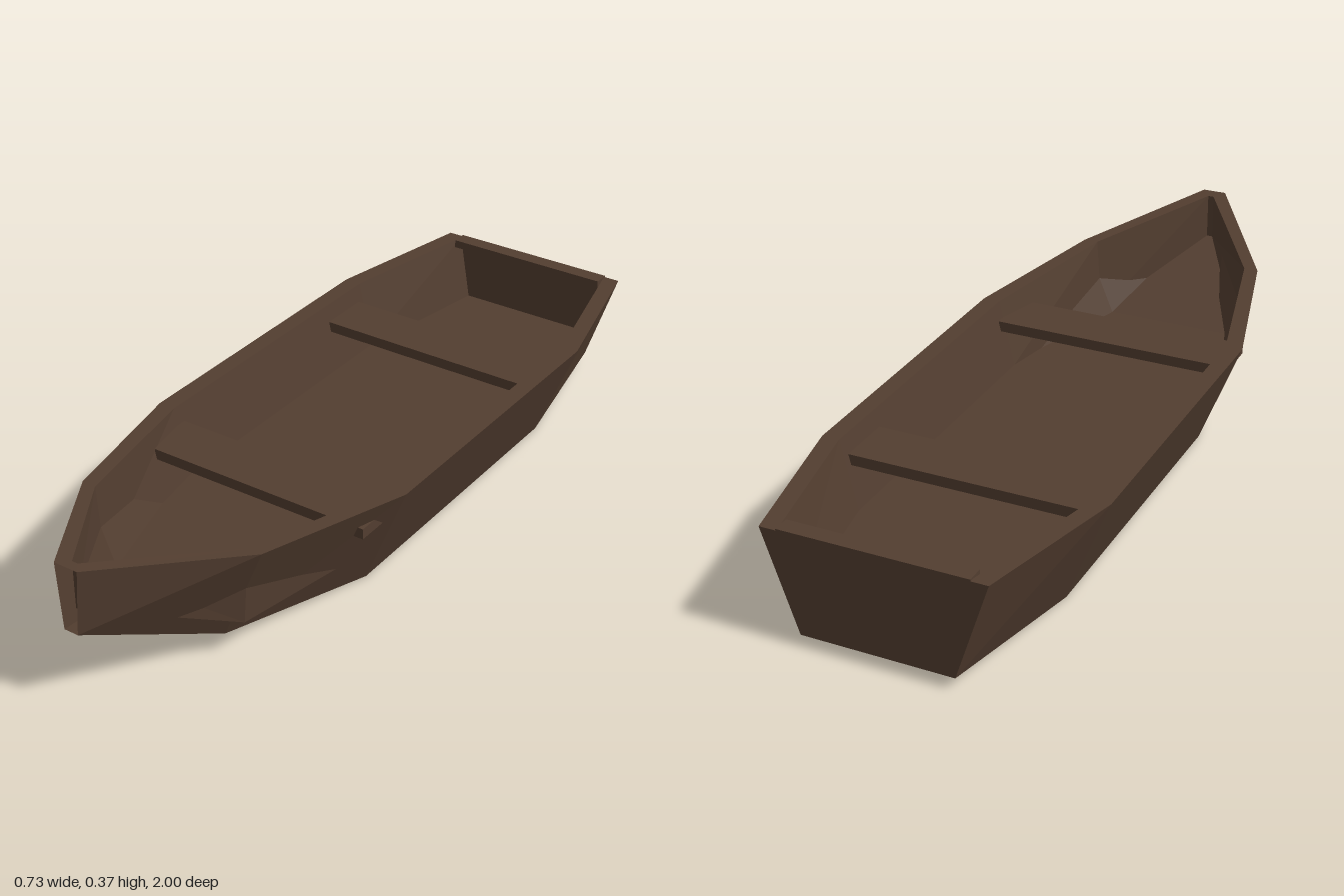
import * as THREE from 'three';

// stations from stern to bow: z, half width at top, top y, half width at bottom, bottom y
const OUTER = [
  [-1, 0.275, 0.286, 0.19, 0.03],
  [-0.59, 0.367, 0.277, 0.258, 0.003],
  [0.24, 0.367, 0.277, 0.258, 0],
  [0.655, 0.258, 0.305, 0.148, 0.04],
  [1, 0.032, 0.369, 0.019, 0.197],
];
const INNER = [
  [-0.99, 0.233, 0.286, 0.2, 0.105],
  [-0.59, 0.322, 0.277, 0.28, 0.095],
  [0.24, 0.322, 0.277, 0.28, 0.095],
  [0.655, 0.22, 0.305, 0.205, 0.096],
  [0.97, 0.008, 0.364, 0.008, 0.24],
];

// corner of a station: side is 1 or -1
const top = (s, side) => [side * s[1], s[2], s[0]];
const bottom = (s, side) => [side * s[3], s[4], s[0]];

function quadMesh(name, quads, material) {
  const pos = [];
  for (const [a, b, c, d] of quads) pos.push(...a, ...b, ...c, ...a, ...c, ...d);
  const geometry = new THREE.BufferGeometry();
  geometry.setAttribute('position', new THREE.Float32BufferAttribute(pos, 3));
  geometry.computeVertexNormals();
  const mesh = new THREE.Mesh(geometry, material);
  mesh.name = name;
  return mesh;
}

export function createModel() {
  const boat = new THREE.Group();
  boat.name = 'rowingBoat';
  // both sides show, as the stem is open at the front
  const wood = new THREE.MeshStandardMaterial({ color: 0x533e30, flatShading: true, side: THREE.DoubleSide });
  wood.name = 'dark wood';

  // section corners, counterclockwise seen from the bow
  const ring = OUTER.map((o, i) => {
    const n = INNER[i];
    return [
      bottom(o, 1), top(o, 1), top(n, 1), bottom(n, 1),
      bottom(n, -1), top(n, -1), top(o, -1), bottom(o, -1),
    ];
  });
  const strip = (k) => ring.slice(1).map((r, i) => {
    const m = (k + 1) % 8;
    return [r[k], ring[i][k], ring[i][m], r[m]];
  });
  const [s, b] = [ring[0], ring[ring.length - 1]];

  // outer planking, bottom and transom
  boat.add(quadMesh('hull', [
    ...strip(0), ...strip(6), ...strip(7),
    [s[0], s[7], s[6], s[1]],
  ], wood));

  // top edge all round
  boat.add(quadMesh('gunwale', [
    ...strip(1), ...strip(5),
    [s[6], s[5], s[2], s[1]],
    [b[5], b[6], b[1], b[2]],
  ], wood));

  // inner walls with the inside of the transom and bow
  boat.add(quadMesh('innerWalls', [
    ...strip(2), ...strip(4),
    [s[4], s[3], s[2], s[5]],
    [b[3], b[4], b[5], b[2]],
  ], wood));

  boat.add(quadMesh('floor', strip(3), wood));

  // bench seats and the cap along the transom: name, width, height, depth, y, z
  for (const [name, w, h, d, y, z] of [
    ['rearSeat', 0.636, 0.028, 0.146, 0.217, -0.4975],
    ['frontSeat', 0.654, 0.028, 0.146, 0.217, 0.287],
    ['transomCap', 0.466, 0.022, 0.043, 0.279, -0.9785],
  ]) {
    const board = new THREE.Mesh(new THREE.BoxGeometry(w, h, d), wood);
    board.name = name;
    board.position.set(0, y, z);
    boat.add(board);
  }
  return boat;
}
